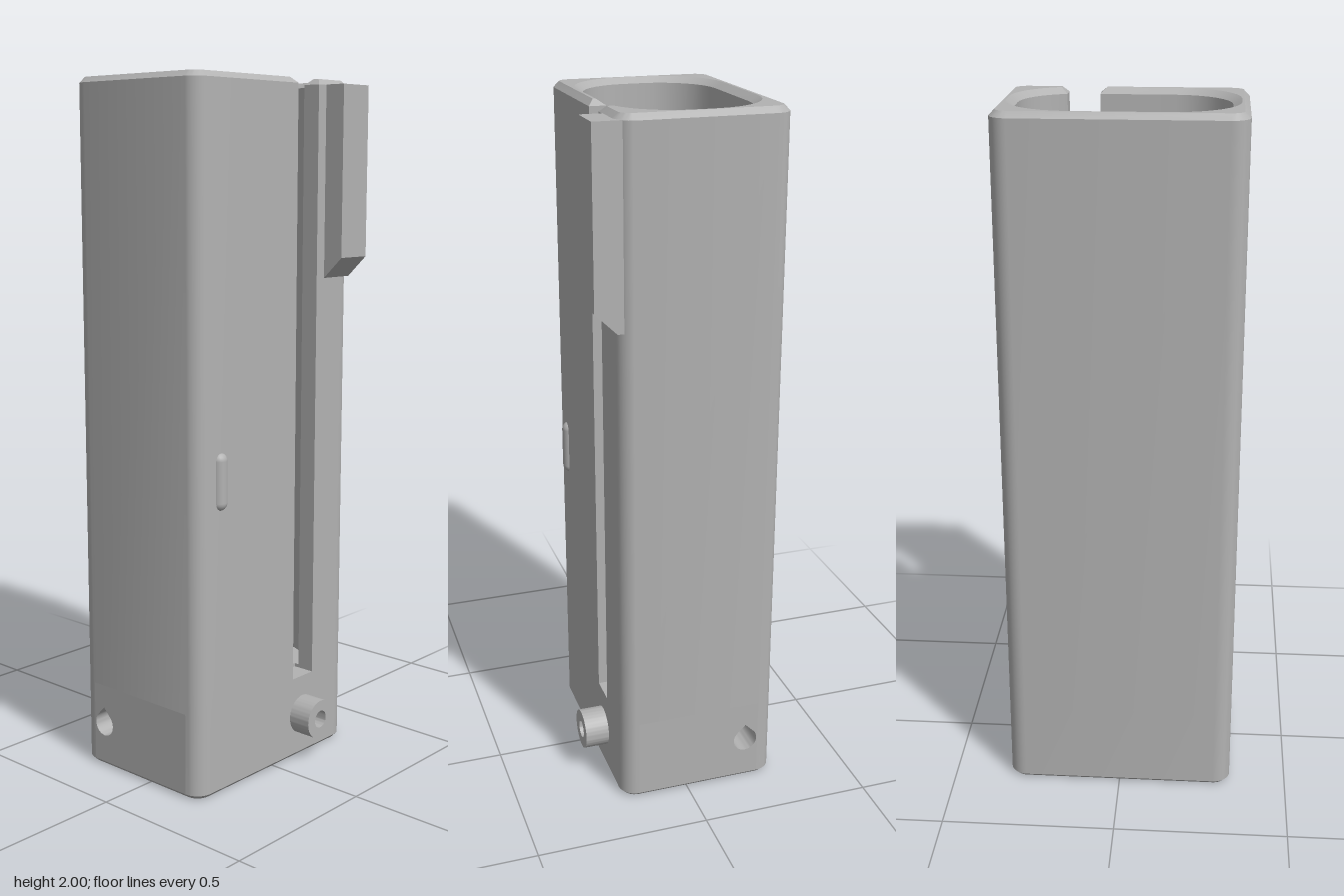
import * as THREE from 'three';
import { toCreasedNormals } from 'three/addons/utils/BufferGeometryUtils.js';

const SEG = 8; // steps per rounded corner
const SLOT_L = 0.08, SLOT_R = 0.171, SLOT_Y = 0.25;
const V = (x, y, z) => new THREE.Vector3(x, y, z);

// Rounded rectangle, running from the slot's right edge round to its left edge
function ring(y, hx, zBack, zFront, r, flare = 0) {
  const xs = SLOT_R + flare, xe = SLOT_L - flare;
  const cx = hx - r, zf = zFront - r, zb = zBack + r;
  const start = xs > cx ? Math.asin((xs - cx) / r) : 0;
  const pts = [V(xs, y, zf + r * Math.cos(start))];
  [[cx, zf], [cx, zb], [-cx, zb], [-cx, zf]].forEach(([x, z], c) => {
    const a0 = c === 0 ? start : c * Math.PI / 2, a1 = (c + 1) * Math.PI / 2;
    for (let i = 0; i <= SEG; i++) {
      const a = a0 + (a1 - a0) * i / SEG;
      pts.push(V(x + r * Math.sin(a), y, z + r * Math.cos(a)));
    }
  });
  pts.push(V(xe, y, zFront));
  return pts;
}

const outer = (y, inset, flare) => ring(y, 0.333 - inset, -0.272 + inset, 0.2 - inset, 0.05 - inset, flare);
const inner = (y, grow, flare) => ring(y, 0.288 + grow, -0.225 - grow, 0.153 + grow, 0.16 + grow, flare);

// Teardrop outline of the cross hole as [z, y] pairs
function teardrop() {
  const r = 0.036, cz = -0.183, cy = 0.13, pts = [];
  for (let i = 0; i <= 24; i++) {
    const a = Math.PI * (0.75 + 1.5 * i / 24);
    pts.push([cz + r * Math.cos(a), cy + r * Math.sin(a)]);
  }
  pts.push([cz, cy + r * Math.SQRT2]);
  return pts;
}

function bodyGeometry() {
  const pos = [];
  const tri = (a, b, c) => {
    const n = b.clone().sub(a).cross(c.clone().sub(a));
    if (n.length() > 1e-9) for (const p of [a, b, c]) pos.push(p.x, p.y, p.z);
  };
  const quad = (a, b, c, d) => { tri(a, b, c); tri(a, c, d); };

  const out = [outer(0, 0.012), outer(0.012, 0), outer(SLOT_Y, 0), outer(1.984, 0), outer(2, 0.016, 0.018)];
  const inn = [inner(SLOT_Y, 0), inner(1.984, 0), inner(2, 0.023, 0.018)];
  const last = out[0].length - 1;
  const rightSide = SEG + 1, leftSide = 3 * SEG + 3;

  // Outer walls; the drilled side faces are added as plates
  for (let k = 0; k < 4; k++) {
    const p = out[k], q = out[k + 1];
    for (let i = 0; i < last; i++) {
      if (k === 1 && (i === rightSide || i === leftSide)) continue;
      quad(p[i], p[i + 1], q[i + 1], q[i]);
    }
    if (k < 2) quad(p[last], p[0], q[0], q[last]);
  }
  // Cavity walls and slot walls
  for (let k = 0; k < 2; k++) {
    const p = inn[k], q = inn[k + 1], o = out[k + 2], u = out[k + 3];
    for (let i = 0; i < last; i++) quad(p[i + 1], p[i], q[i], q[i + 1]);
    quad(p[0], o[0], u[0], q[0]);
    quad(o[last], p[last], q[last], u[last]);
  }
  // Rim and underside
  const a = out[4], b = inn[2], centre = V(0, 0, -0.036);
  for (let i = 0; i < last; i++) {
    quad(a[i], a[i + 1], b[i + 1], b[i]);
    tri(centre, out[0][i + 1], out[0][i]);
  }
  tri(centre, out[0][0], out[0][last]);
  // Slot floor
  quad(V(SLOT_L, SLOT_Y, 0.2), V(SLOT_R, SLOT_Y, 0.2), V(SLOT_R, SLOT_Y, 0.133), V(SLOT_L, SLOT_Y, 0.133));
  // Cross hole tunnel
  const h = teardrop();
  h.forEach(([z, y], i) => {
    const [z2, y2] = h[(i + 1) % h.length];
    quad(V(-0.333, y, z), V(-0.333, y2, z2), V(0.333, y2, z2), V(0.333, y, z));
  });

  const geo = new THREE.BufferGeometry();
  geo.setAttribute('position', new THREE.Float32BufferAttribute(pos, 3));
  return toCreasedNormals(geo, 0.5);
}

// Lower side face with its hole; s is +1 for left, -1 for right
function sidePlate(s) {
  const flat = (list) => list.map(([z, y]) => new THREE.Vector2(-s * z, y));
  const shape = new THREE.Shape(flat([[-0.222, 0.012], [0.15, 0.012], [0.15, SLOT_Y], [-0.222, SLOT_Y]]));
  shape.holes.push(new THREE.Path(flat(teardrop())));
  return new THREE.ShapeGeometry(shape).rotateY(s * Math.PI / 2).translate(s * 0.333, 0, 0);
}

export function createModel() {
  const group = new THREE.Group();
  const grey = new THREE.MeshStandardMaterial({ color: 0xb2b2b2 });
  grey.name = 'plain grey';
  const add = (name, geo, x = 0, y = 0, z = 0) => {
    const mesh = new THREE.Mesh(geo, grey);
    mesh.name = name;
    mesh.position.set(x, y, z);
    group.add(mesh);
  };

  add('body', bodyGeometry());
  add('leftHoleFace', sidePlate(1));
  add('rightHoleFace', sidePlate(-1));

  // Cavity floor, notched behind the slot
  const floor = inner(SLOT_Y, 0).map((p) => new THREE.Vector2(p.x, -p.z));
  floor.push(new THREE.Vector2(SLOT_L, -0.133), new THREE.Vector2(SLOT_R, -0.133));
  add('cavityFloor', new THREE.ExtrudeGeometry(new THREE.Shape(floor), { depth: 0.01, bevelEnabled: false })
    .rotateX(-Math.PI / 2), 0, SLOT_Y, 0);

  // Hollow round boss on the lower front
  const boss = new THREE.Shape().absarc(0, 0, 0.058, 0, Math.PI * 2);
  boss.holes.push(new THREE.Path().absarc(0, 0, 0.026, 0, Math.PI * 2));
  add('boss', toCreasedNormals(new THREE.ExtrudeGeometry(boss,
    { depth: 0.07, bevelEnabled: false, curveSegments: 32 }), 0.5), 0.126, 0.13, 0.2);

  // Rail block with a sloped lower end
  const rail = new THREE.Shape([[-0.15, 1.985], [-0.262, 1.985], [-0.262, 1.5], [-0.2, 1.44], [-0.15, 1.44]]
    .map(([u, v]) => new THREE.Vector2(u, v)));
  add('rail', new THREE.ExtrudeGeometry(rail, { depth: 0.116, bevelEnabled: false })
    .rotateY(Math.PI / 2), 0.205, 0, 0);

  // Small raised rib
  add('rib', new THREE.CapsuleGeometry(0.024, 0.117, 6, 20), -0.237, 0.908, 0.19);

  return group;
}
